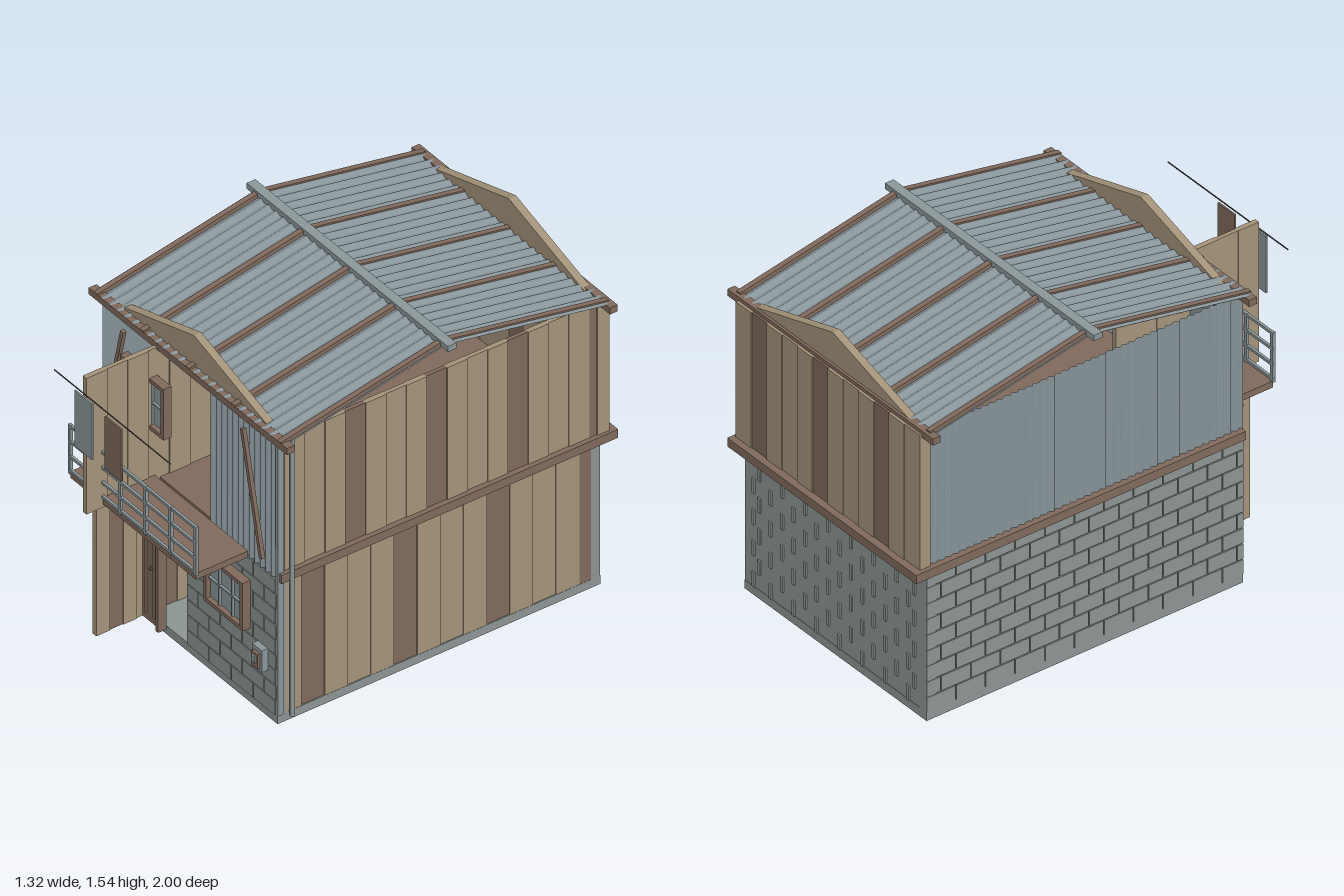
import * as THREE from 'three';
import { mergeGeometries } from 'three/addons/utils/BufferGeometryUtils.js';

const mat = (name, color, extra = {}) => {
  const m = new THREE.MeshStandardMaterial({ color, ...extra });
  m.name = name;
  return m;
};

export function createModel() {
  const root = new THREE.Group();
  root.name = 'shackHouse';
  const tan = mat('tan wood', 0xa39279);
  const brown = mat('brown wood', 0x7f695b);
  const concrete = mat('concrete', 0x8c9492);
  const metal = mat('metal', 0x8a9698);
  const sheetMetal = mat('sheet metal', 0x87949a, { side: THREE.DoubleSide });
  const dark = mat('dark wire', 0x45403d);

  const boxGeo = (x0, x1, y0, y1, z0, z1) =>
    new THREE.BoxGeometry(x1 - x0, y1 - y0, z1 - z0).translate((x0 + x1) / 2, (y0 + y1) / 2, (z0 + z1) / 2);
  const add = (name, geo, m, parent = root) => {
    const mesh = new THREE.Mesh(geo, m);
    mesh.name = name;
    parent.add(mesh);
    return mesh;
  };
  const box = (name, m, ...b) => add(name, boxGeo(...b), m);

  // Wall of planks along x or z; every fourth plank is brown
  const planks = (name, axis, from, to, n, y0, y1, d0, d1, brownIndex) => {
    const w = (to - from) / n;
    const sets = [[], []];
    for (let i = 0; i < n; i++) {
      const a = from + i * w, b = a + w, t = (i % 2) * 0.004;
      const lo = Math.min(a, b), hi = Math.max(a, b);
      sets[i % 4 === brownIndex ? 1 : 0].push(axis === 'x'
        ? boxGeo(lo, hi, y0, y1, d0 + t, d1 - t / 2)
        : boxGeo(d0 + t / 2, d1 - t, y0, y1, lo, hi));
    }
    sets.forEach((s, k) => s.length && add(name + (k ? 'BrownPlanks' : 'TanPlanks'), mergeGeometries(s), k ? brown : tan));
  };

  // Corrugated sheet in the xy plane, ribs running along y
  const corrugated = (w, h, period, amp) => {
    const g = new THREE.PlaneGeometry(w, h, Math.round(w / period) * 6, 1);
    const p = g.attributes.position;
    for (let i = 0; i < p.count; i++) p.setZ(i, amp * Math.sin(((p.getX(i) + w / 2) / period) * Math.PI * 2));
    g.computeVertexNormals();
    return g;
  };

  // Staggered courses of blocks, calling place(start, end, bottom, top)
  const courses = (from, to, place) => {
    const rows = 9, h = 0.66 / rows, len = 0.145, gap = 0.005, out = [];
    for (let r = 0; r < rows; r++) {
      for (let a = from - (r % 2) * len / 2; a < to - 0.01; a += len) {
        const s = Math.max(a, from), e = Math.min(a + len - gap, to);
        if (e - s > 0.01) out.push(place(s, e, 0.04 + r * h, 0.04 + (r + 1) * h - gap));
      }
    }
    return mergeGeometries(out);
  };

  // Ground floor: slab and block walls
  box('baseSlab', concrete, -0.575, 0.575, 0, 0.04, -0.93, 0.62);
  box('frontBlockWall', concrete, -0.01, 0.575, 0.04, 0.7, 0.58, 0.62);
  add('frontBlocks', courses(-0.01, 0.57, (s, e, b, t) => boxGeo(s, e, b, t, 0.61, 0.626)), concrete);
  box('sideBlockWall', concrete, -0.57, -0.53, 0.04, 0.69, -0.93, 0.62);
  add('sideBlocks', courses(-0.93, 0.62, (s, e, b, t) => boxGeo(-0.577, -0.56, b, t, s, e)), concrete);
  box('backBlockWall', concrete, -0.575, 0.575, 0.04, 0.69, -0.928, -0.885);
  add('backBlockEnds', courses(-0.53, 0.55, (s, e, b, t) =>
    boxGeo((s + e) / 2 - 0.008, (s + e) / 2 + 0.008, b, t, -0.935, -0.92)), concrete);
  planks('lowerSide', 'z', 0.58, -0.885, 1, 0.04, 0.69, 0.54, 0.555, 9);
  planks('lowerSide', 'z', 0.615, -0.94 + 0.111, 13, 0.04, 0.69, 0.55, 0.574, 1);
  box('lowerSideLastPlank', brown, 0.55, 0.574, 0.04, 0.69, -0.885, -0.829);
  planks('lowerPartition', 'z', 0.88, 0.36, 8, 0.04, 0.7, -0.284, -0.258, 1);

  // Upper floor
  box('floorSlab', brown, -0.6, 0.595, 0.685, 0.725, -1, 0.615);
  planks('upperSide', 'z', 0.585, -0.975 + 0.0975, 15, 0.72, 1.36, 0.55, 0.574, 3);
  box('upperSideLastPlank', brown, 0.55, 0.574, 0.72, 1.36, -0.915, -0.8775);
  planks('upperBack', 'x', 0.58, -0.58, 12, 0.72, 1.36, -0.97, -0.912, 1);
  planks('upperPartition', 'z', 0.97, 0.27, 7, 0.7, 1.355, -0.224, -0.2, 9);
  add('frontMetalWall', corrugated(0.435, 0.66, 0.036, 0.007), sheetMetal).position.set(0.357, 1.03, 0.622);
  const sideSheet = add('sideMetalWall', corrugated(1.55, 0.64, 0.036, 0.005), sheetMetal);
  sideSheet.position.set(-0.572, 1.04, -0.155);
  sideSheet.rotation.y = -Math.PI / 2;
  box('cornerStrip', metal, 0.565, 0.58, 0.04, 1.36, 0.592, 0.622);
  add('drainPipe', new THREE.CylinderGeometry(0.009, 0.009, 1.33, 10).translate(0.595, 0.695, 0.565), metal);

  // Roof: two mirrored slopes with battens, ridge cap and eave beams
  const slope = Math.atan2(0.15, 0.785), slopeLen = Math.hypot(0.15, 0.785);
  for (const side of [0, 1]) {
    const turn = new THREE.Group();
    turn.name = side ? 'backRoof' : 'frontRoof';
    turn.position.set(0, 1.52, -0.155);
    turn.rotation.y = side * Math.PI;
    const tilt = new THREE.Group();
    tilt.name = 'roofSlope';
    tilt.rotation.x = slope;
    turn.add(tilt);
    root.add(turn);
    add('roofSheet', corrugated(1.25, slopeLen, 0.05, 0.007).rotateX(-Math.PI / 2).translate(0, 0, slopeLen / 2), sheetMetal, tilt);
    for (const x of [-0.6, -0.3, 0, 0.3, 0.6])
      add('roofBatten', boxGeo(x - 0.012, x + 0.012, -0.01, 0.013, 0, slopeLen), brown, tilt);
    if (!side) add('roofPatch', boxGeo(-0.37, -0.12, -0.028, -0.02, 0.0, 0.36), metal, tilt);
  }
  box('ridgeCap', metal, -0.66, 0.66, 1.513, 1.54, -0.177, -0.135);
  box('frontEaveBeam', brown, -0.65, 0.65, 1.345, 1.376, 0.592, 0.63);
  box('backEaveBeam', brown, -0.65, 0.65, 1.345, 1.376, -0.957, -0.92);
  const gable = new THREE.Shape([[-0.5, 1.37], [0.5, 1.37], [0, 1.52]].map(p => new THREE.Vector2(...p)));
  for (const z of [0.565, -0.945])
    add('gablePanel', new THREE.ExtrudeGeometry(gable, { depth: 0.035, bevelEnabled: false }).translate(0, 0, z), tan);

  // Balcony with railing
  box('balconyDeck', brown, -0.415, 0.41, 0.715, 0.745, 0.64, 0.89);
  for (let i = 0; i < 6; i++) {
    const x = -0.412 + i * 0.165;
    box('railingPost', metal, x - 0.007, x + 0.007, 0.74, 0.975, 0.885, 0.899);
  }
  for (const y of [0.755, 0.822, 0.895, 0.968])
    box('railingRail', metal, -0.42, 0.42, y - 0.006, y + 0.006, 0.886, 0.898);

  // Slanted braces
  for (const s of [-1, 1]) {
    const brace = add('slantedBrace', new THREE.BoxGeometry(0.018, 0.565, 0.018), brown);
    brace.position.set(s * 0.455, 1.055, 0.652);
    brace.rotation.z = s * Math.atan2(0.125, 0.55);
  }

  // Framed opening: four bars around a rectangle
  const frame = (name, x0, x1, y0, y1, t, z0, z1, sill = true) => {
    box(name, brown, x0, x0 + t, y0, y1, z0, z1);
    box(name, brown, x1 - t, x1, y0, y1, z0, z1);
    box(name, brown, x0 + t, x1 - t, y1 - t, y1, z0, z1);
    if (sill) box(name, brown, x0 + t, x1 - t, y0, y0 + t, z0, z1);
  };
  const windowAt = (name, x0, x1, y0, y1) => {
    frame(name + 'Frame', x0, x1, y0, y1, 0.018, 0.626, 0.665);
    box(name + 'Pane', metal, x0 + 0.018, x1 - 0.018, y0 + 0.018, y1 - 0.018, 0.634, 0.643);
    for (const k of [1, 2]) {
      const x = x0 + (x1 - x0) * k / 3;
      box(name + 'Bar', metal, x - 0.004, x + 0.004, y0 + 0.018, y1 - 0.018, 0.642, 0.654);
    }
    const y = (y0 + y1) / 2;
    box(name + 'Bar', metal, x0 + 0.018, x1 - 0.018, y - 0.004, y + 0.004, 0.642, 0.654);
  };
  windowAt('lowerWindow', 0.15, 0.405, 0.365, 0.595);
  windowAt('upperWindow', -0.398, -0.112, 0.975, 1.22);

  // Door with strips and handle
  frame('doorFrame', -0.398, -0.14, 0.035, 0.62, 0.018, 0.63, 0.67, false);
  box('doorPanel', brown, -0.38, -0.158, 0.04, 0.602, 0.632, 0.655);
  for (const x of [-0.35, -0.298, -0.238, -0.186])
    box('doorStrip', tan, x - 0.004, x + 0.004, 0.07, 0.565, 0.654, 0.66);
  add('doorHandle', new THREE.SphereGeometry(0.009, 10, 8).translate(-0.195, 0.31, 0.664), dark);

  // Meter box
  box('meterBox', metal, 0.455, 0.52, 0.23, 0.335, 0.622, 0.655);
  box('meterFace', brown, 0.468, 0.508, 0.245, 0.315, 0.65, 0.668);
  box('meterDial', metal, 0.476, 0.5, 0.272, 0.302, 0.667, 0.676);

  // Washing line with cloths
  add('washingLine', new THREE.CylinderGeometry(0.003, 0.003, 0.76, 6).rotateZ(Math.PI / 2).translate(0, 1.3, 0.992), dark);
  box('greyCloth', metal, -0.24, -0.125, 1.02, 1.287, 0.991, 0.999);
  box('brownCloth', brown, -0.042, 0.065, 1.03, 1.28, 0.991, 0.999);
  return root;
}
